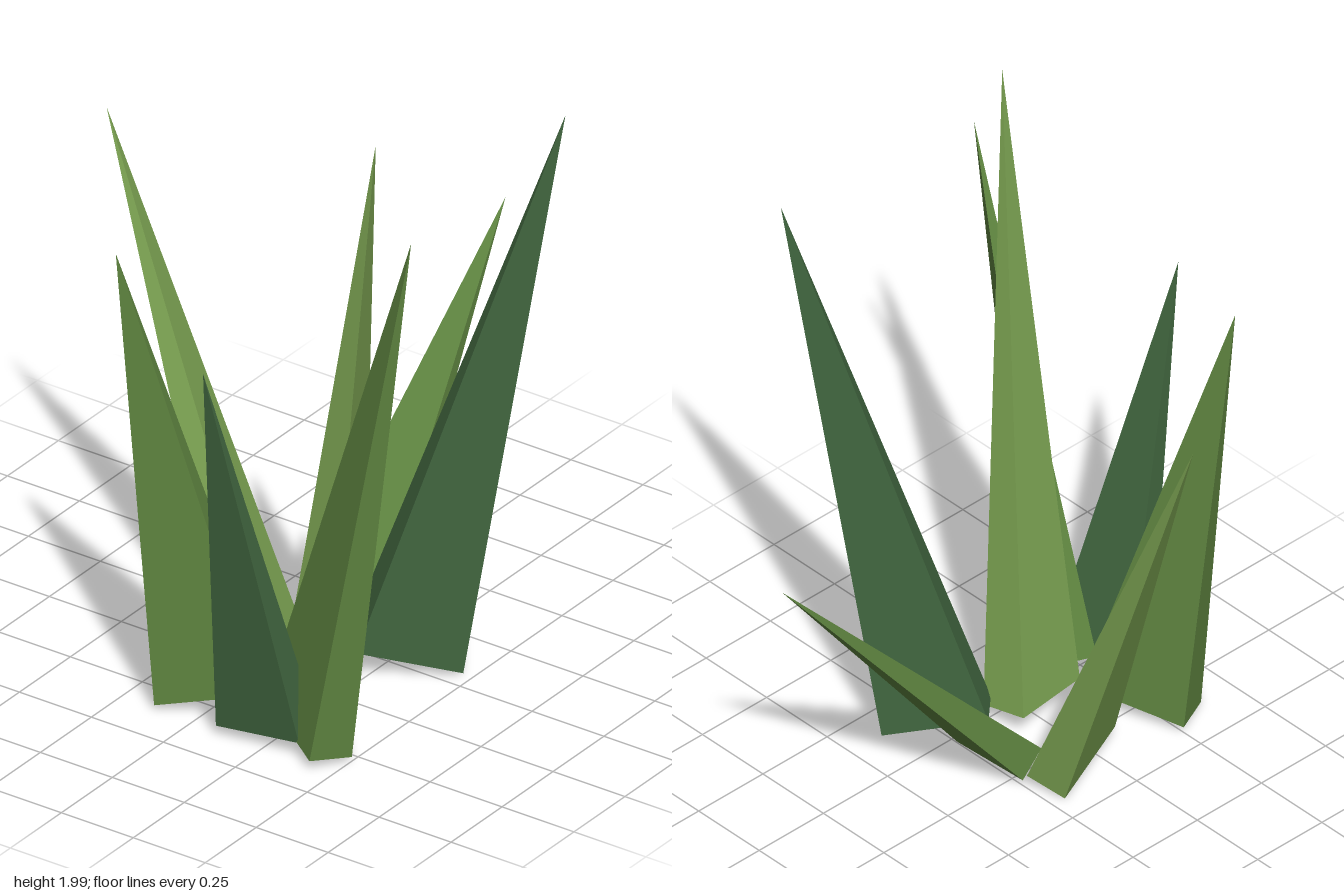
import * as THREE from 'three';
import { ConvexGeometry } from 'three/addons/geometries/ConvexGeometry.js';

const BASE_Y = 0.06; // height of the middle of every blade's base

// A straight four-sided spike whose base lies square to its leaning axis.
// tip: [x, y, z]; base: centre [x, z]; long, short: half sides of the base [x, z]
function bladeGeometry({ tip, base, long, short }) {
  const [ax, ay, az] = [tip[0] - base[0], tip[1] - BASE_Y, tip[2] - base[1]];
  const points = [new THREE.Vector3(...tip)];
  for (const s of [-1, 1]) {
    for (const t of [-1, 1]) {
      const dx = s * long[0] + t * short[0];
      const dz = s * long[1] + t * short[1];
      points.push(new THREE.Vector3(base[0] + dx, BASE_Y - (dx * ax + dz * az) / ay, base[1] + dz));
    }
  }
  return new ConvexGeometry(points);
}

export function createModel() {
  const material = (name, color) => {
    const m = new THREE.MeshStandardMaterial({ color, flatShading: true });
    m.name = name;
    return m;
  };
  const light = material('lightGreen', 0x7ca352);
  const mid = material('midGreen', 0x5f8540);
  const dark = material('darkGreen', 0x41663f);

  const blades = [
    { name: 'tallBlade', mat: light, tip: [-0.47, 2.0, 0.54], base: [-0.272, 0.208], long: [0.139, -0.031], short: [0.009, 0.073] },
    { name: 'frontLeftBlade', mat: dark, tip: [0.256, 1.81, 0.685], base: [0.002, 0.312], long: [0.098, 0.117], short: [0.046, -0.044] },
    { name: 'frontRightBlade', mat: mid, tip: [-0.487, 1.73, 0.675], base: [-0.511, 0.335], long: [0.08, -0.134], short: [0.056, 0.034] },
    { name: 'backRightBlade', mat: mid, tip: [-0.64, 1.47, -0.243], base: [-0.488, -0.012], long: [-0.069, -0.142], short: [0.06, -0.028] },
    { name: 'backBlade', mat: light, tip: [-0.057, 1.535, -0.688], base: [-0.163, -0.07], long: [0.14, -0.045], short: [-0.022, -0.055] },
    { name: 'rightBlade', mat: dark, tip: [-0.833, 1.31, 0.197], base: [-0.563, 0.225], long: [0.017, 0.132], short: [0.053, -0.007] },
    { name: 'leftBlade', mat: mid, tip: [0.83, 1.08, 0.07], base: [-0.035, 0.09], long: [0.005, 0.13], short: [0.04, -0.004] },
  ];

  const group = new THREE.Group();
  group.name = 'grassTuft';
  for (const blade of blades) {
    const mesh = new THREE.Mesh(bladeGeometry(blade), blade.mat);
    mesh.name = blade.name;
    group.add(mesh);
  }
  return group;
}
